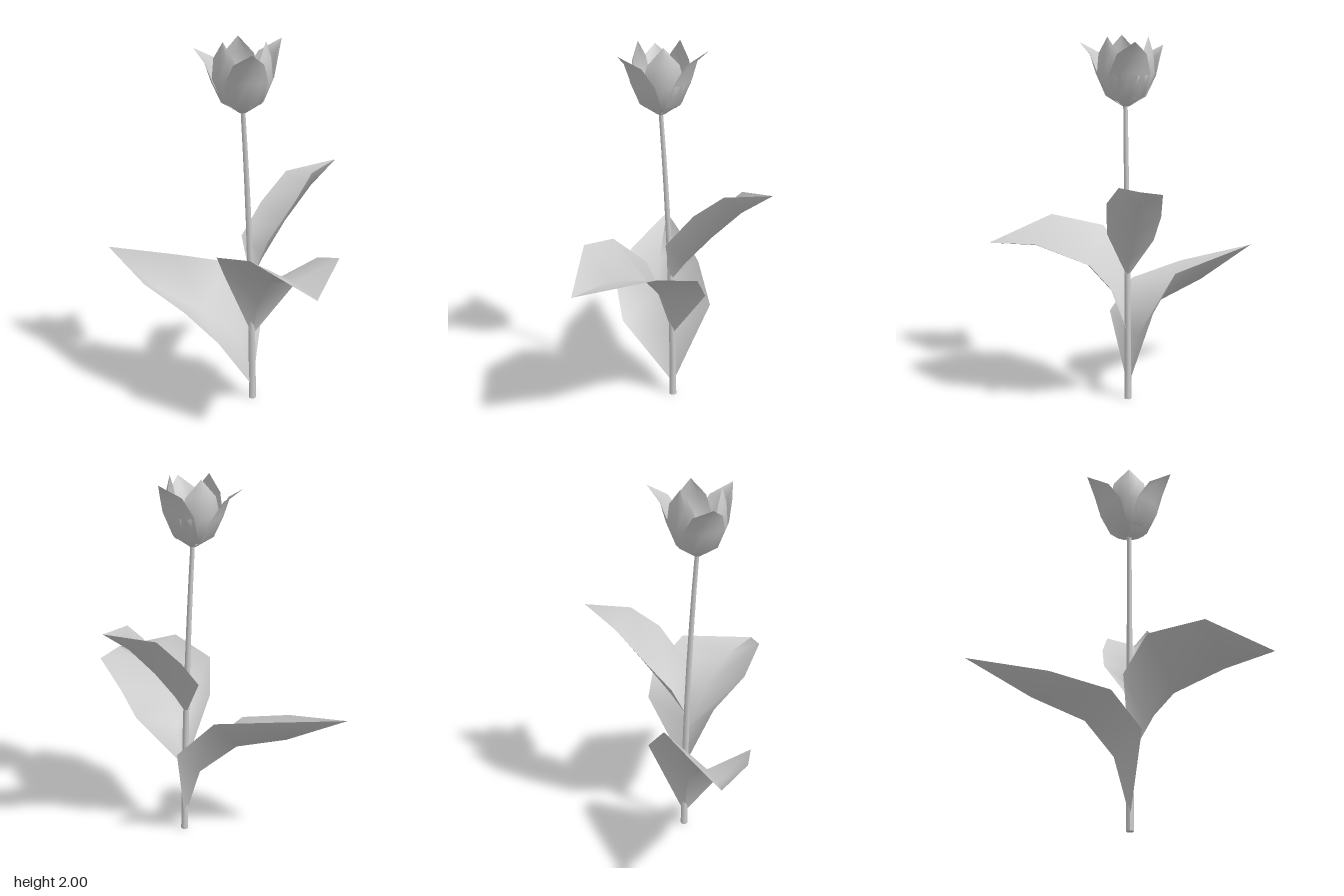
import * as THREE from 'three';

const V = (x, y, z) => new THREE.Vector3(x, y, z);
const material = new THREE.MeshStandardMaterial({ color: 0xcccccc, side: THREE.DoubleSide });

function addMesh(parent, name, geometry) {
  const mesh = new THREE.Mesh(geometry, material);
  mesh.name = name;
  parent.add(mesh);
  return mesh;
}

// Smooth open surface through equal-length rows of points
function sheet(rows) {
  const cols = rows[0].length, points = rows.flat(), index = [];
  const tri = (a, b, c) => {
    if (new THREE.Triangle(points[a], points[b], points[c]).getArea() > 1e-7) index.push(a, b, c);
  };
  for (let i = 0; i < rows.length - 1; i++) {
    for (let j = 0; j < cols - 1; j++) {
      const a = i * cols + j, d = a + cols;
      tri(a, a + 1, d + 1);
      tri(a, d + 1, d);
    }
  }
  const geometry = new THREE.BufferGeometry().setFromPoints(points);
  geometry.setIndex(index);
  geometry.computeVertexNormals();
  return geometry;
}

// Folded leaf: left edge, midrib and right edge between a base and a tip
function leaf(base, sections, tip) {
  const rows = sections.map((s) => s.map((p) => V(...p)));
  const b = V(...base), t = V(...tip);
  return sheet([[b, b, b], ...rows, [t, t, t]]);
}

// Curved petal: rows of [radius, height, half angle], pointing along +z
function petal(profile) {
  return sheet(profile.map(([r, y, half]) =>
    [-1, -0.5, 0, 0.5, 1].map((k) => {
      const a = k * half;
      return V(r * Math.sin(a), y, r * Math.cos(a));
    })));
}

export function createModel() {
  const plant = new THREE.Group();
  plant.name = 'tulip';

  // Stem, tapering and leaning gently forward
  const height = 1.64;
  const stem = new THREE.CylinderGeometry(0.012, 0.02, height, 8, 8);
  stem.translate(0, height / 2, 0);
  const pos = stem.attributes.position;
  for (let i = 0; i < pos.count; i++) {
    const t = pos.getY(i) / height;
    pos.setXYZ(i, pos.getX(i) + 0.035, pos.getY(i), pos.getZ(i) + 0.07 + 0.06 * t * t);
  }
  stem.computeVertexNormals();
  addMesh(plant, 'stem', stem);

  // Three leaves, rising around the stem
  addMesh(plant, 'lowerLeaf', leaf([0.035, 0.07, 0.07], [
    [[0.09, 0.43, 0.35], [-0.03, 0.35, 0.11], [-0.07, 0.54, -0.11]],
    [[-0.06, 0.59, 0.46], [-0.19, 0.51, 0.25], [-0.22, 0.72, 0.02]],
    [[-0.36, 0.67, 0.5], [-0.45, 0.59, 0.36], [-0.46, 0.74, 0.2]],
  ], [-0.775, 0.76, 0.45]));

  addMesh(plant, 'middleLeaf', leaf([0.035, 0.38, 0.07], [
    [[0.17, 0.71, -0.175], [0.1, 0.6, 0.08], [0, 0.77, 0.24]],
    [[0.28, 0.84, -0.175], [0.25, 0.77, 0.13], [0.12, 0.93, 0.38]],
    [[0.55, 0.94, -0.07], [0.52, 0.87, 0.21], [0.41, 1.0, 0.405]],
  ], [0.77, 0.875, 0.295]));

  addMesh(plant, 'upperLeaf', leaf([0.035, 0.7, 0.08], [
    [[-0.1, 0.91, 0.03], [0.035, 0.82, -0.01], [0.15, 0.95, 0.06]],
    [[-0.11, 1.07, -0.12], [0.04, 0.99, -0.16], [0.18, 1.15, -0.11]],
    [[-0.085, 1.22, -0.28], [0.06, 1.16, -0.33], [0.14, 1.26, -0.26]],
  ], [0.075, 1.28, -0.5]));

  // Flower head
  const flower = new THREE.Group();
  flower.name = 'flower';
  flower.position.set(0.032, 1.63, 0.13);
  plant.add(flower);

  // Upright inner petals and flared outer petals, alternating
  const inner = petal([[0.015, 0.01, 1], [0.1, 0.05, 0.85], [0.155, 0.17, 0.8], [0.145, 0.28, 0.6], [0.125, 0.37, 0]]);
  const outer = petal([[0.02, 0, 1.05], [0.11, 0.06, 0.95], [0.16, 0.18, 0.75], [0.19, 0.28, 0.42], [0.265, 0.345, 0]]);
  const outerStretch = [0.97, 1.02, 0.91];
  for (let i = 0; i < 3; i++) {
    const turn = i * Math.PI * 2 / 3;
    addMesh(flower, 'innerPetal', inner).rotation.y = turn;
    const flared = addMesh(flower, 'outerPetal', outer);
    flared.rotation.y = turn + Math.PI / 3;
    flared.scale.y = outerStretch[i];
  }

  // Pistil with a three-lobed top
  const pistil = new THREE.CylinderGeometry(0.012, 0.016, 0.15, 6);
  pistil.translate(0, 0.075, 0);
  addMesh(flower, 'pistil', pistil);
  for (let i = 0; i < 3; i++) {
    const a = i * Math.PI * 2 / 3;
    const lobe = addMesh(flower, 'stigma', new THREE.SphereGeometry(0.012, 6, 4));
    lobe.position.set(0.012 * Math.sin(a), 0.152, 0.012 * Math.cos(a));
  }

  // Ring of six stamens
  for (let i = 0; i < 6; i++) {
    const stamen = new THREE.Group();
    stamen.name = 'stamen';
    stamen.rotation.y = i * Math.PI / 3;
    const path = new THREE.QuadraticBezierCurve3(V(0, 0.01, 0.015), V(0, 0.06, 0.05), V(0, 0.13, 0.06));
    addMesh(stamen, 'filament', new THREE.TubeGeometry(path, 4, 0.003, 5));
    const anther = addMesh(stamen, 'anther', new THREE.SphereGeometry(0.008, 6, 5));
    anther.position.set(0, 0.14, 0.062);
    anther.scale.y = 2.5;
    flower.add(stamen);
  }
  return plant;
}
